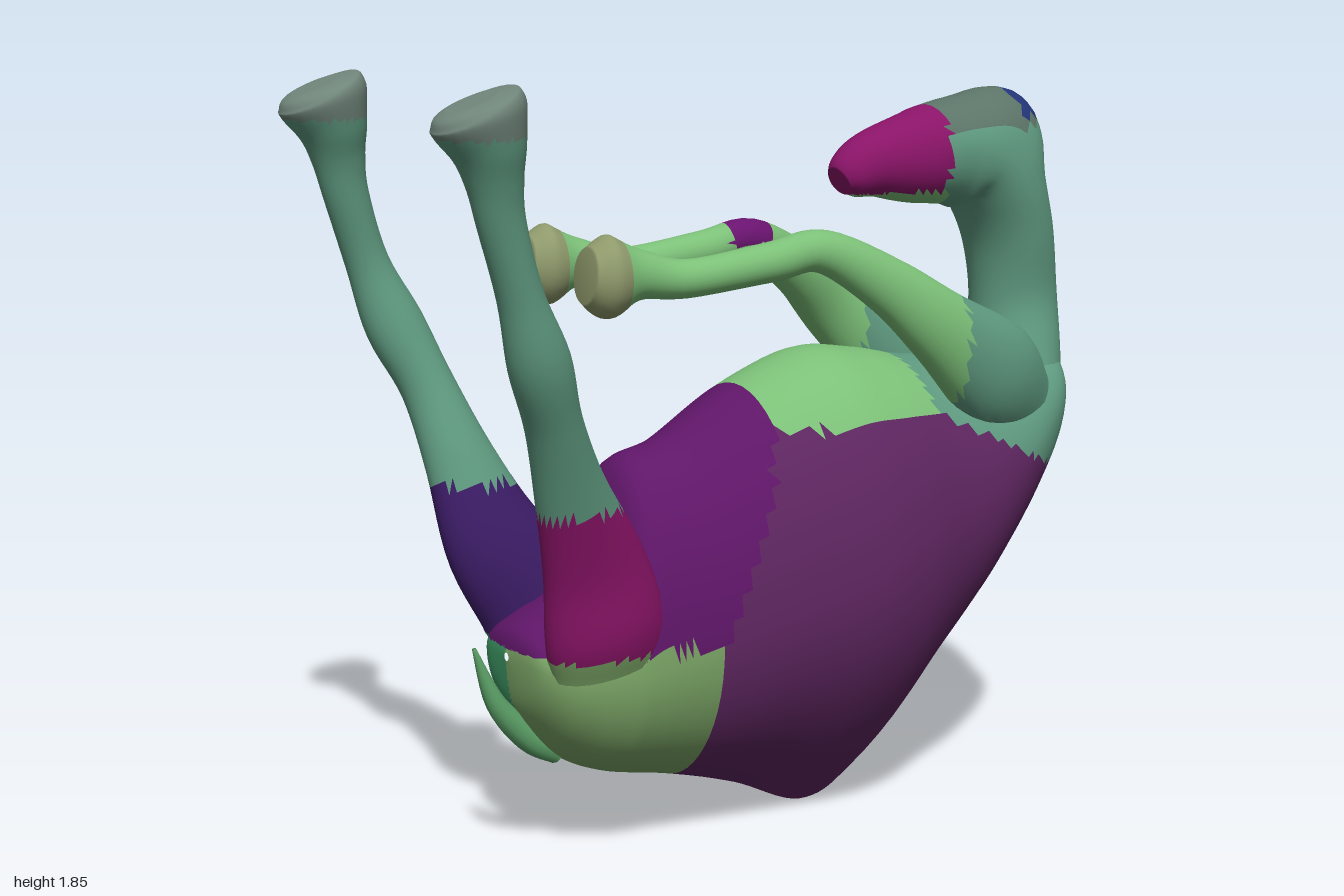
import * as THREE from 'three';

const TEAL = 0x5f9a80, LIME = 0x7cc078, PURPLE = 0x5f1668, MAGENTA = 0x8a1468;
const HOOF = 0x70857a, VIOLET = 0x3c1c66;

// Catmull-Rom blend of one column of numbers
function spline(a, b, c, d, t) {
  return 0.5 * (2 * b + (c - a) * t + (2 * a - 5 * b + 4 * c - d) * t * t
    + (3 * b - a - 3 * c + d) * t * t * t);
}

// Skin over rows of [x, y, z, up radius, down radius, side radius, pinch of the lower half];
// the first ring stays open because it is buried in another part
function loft(rows, { axis = null, sides = 28, steps = 6 } = {}) {
  const rings = [];
  const last = rows.length - 1;
  for (let i = 0; i < last; i++) {
    const [a, b, c, d] = [i - 1, i, i + 1, i + 2].map((k) => rows[Math.min(last, Math.max(0, k))]);
    for (let s = 0; s < steps; s++) rings.push(b.map((_, k) => spline(a[k], b[k], c[k], d[k], s / steps)));
  }
  rings.push(rows[last]);

  const pos = [], index = [];
  const centre = rings.map((r) => new THREE.Vector3(r[0], r[1], r[2]));
  rings.forEach((r, i) => {
    const t = axis || centre[Math.min(i + 1, rings.length - 1)].clone().sub(centre[Math.max(i - 1, 0)]).normalize();
    const side = new THREE.Vector3(0, 0, 1).addScaledVector(t, -t.z).normalize();
    const up = side.clone().cross(t);
    for (let j = 0; j < sides; j++) {
      const ang = (j / sides) * Math.PI * 2, c = Math.cos(ang), s = Math.sin(ang);
      const w = Math.sign(c) * Math.pow(Math.abs(c), s < 0 ? r[6] : 1) * r[5];
      const p = centre[i].clone().addScaledVector(side, w).addScaledVector(up, s * (s > 0 ? r[3] : r[4]));
      pos.push(p.x, p.y, p.z);
    }
  });
  const end = (rings.length - 1) * sides;
  pos.push(...centre[rings.length - 1].toArray());
  for (let j = 0; j < sides; j++) {
    const k = (j + 1) % sides;
    for (let i = 0; i < end; i += sides) {
      index.push(i + j, i + j + sides, i + k, i + k, i + j + sides, i + k + sides);
    }
    index.push(end + sides, end + k, end + j);
  }
  const geo = new THREE.BufferGeometry();
  geo.setAttribute('position', new THREE.Float32BufferAttribute(pos, 3));
  geo.setIndex(index);
  geo.computeVertexNormals();
  return geo;
}

// Split a skin into colour patches: pick(x, y, z) returns [patch name, colour]
function patches(name, geo, pick) {
  const group = new THREE.Group();
  group.name = name;
  const p = geo.attributes.position, idx = geo.index.array, found = new Map();
  for (let f = 0; f < idx.length; f += 3) {
    const tri = [idx[f], idx[f + 1], idx[f + 2]];
    const mid = (get) => tri.reduce((sum, v) => sum + p[get](v), 0) / 3;
    const [label, color] = pick(mid('getX'), mid('getY'), mid('getZ'));
    if (!found.has(label)) found.set(label, { color, tris: [] });
    found.get(label).tris.push(...tri);
  }
  for (const [label, { color, tris }] of found) {
    const part = new THREE.BufferGeometry();
    part.setAttribute('position', geo.attributes.position);
    part.setAttribute('normal', geo.attributes.normal);
    part.setIndex(tris);
    const mesh = new THREE.Mesh(part, new THREE.MeshStandardMaterial({ color }));
    mesh.name = label;
    group.add(mesh);
  }
  return group;
}

// Limb row: centre, radius in the bending plane, radius across
const limb = ([x, y, z, r, w = r]) => [x, y, z, r, r, w, 1];

export function createModel() {
  const model = new THREE.Group();
  model.name = 'upturnedCamel';

  // Torso: x, lowest y, widest y, highest y, half width, pinch (hump points down)
  const torso = [
    [-0.638, 0.49, 0.50, 0.51, 0.01, 1], [-0.62, 0.38, 0.49, 0.56, 0.13, 1],
    [-0.56, 0.285, 0.47, 0.60, 0.19, 1], [-0.49, 0.225, 0.46, 0.64, 0.215, 1],
    [-0.41, 0.19, 0.46, 0.76, 0.23, 1], [-0.34, 0.17, 0.48, 0.93, 0.24, 1.1],
    [-0.20, 0.14, 0.52, 0.98, 0.265, 1.2], [0.00, 0.08, 0.58, 1.09, 0.32, 1.6],
    [0.20, 0.00, 0.62, 1.16, 0.355, 2.1], [0.35, 0.06, 0.66, 1.15, 0.345, 1.9],
    [0.50, 0.26, 0.72, 1.12, 0.31, 1.5], [0.65, 0.45, 0.80, 1.11, 0.285, 1.3],
    [0.80, 0.65, 0.92, 1.12, 0.24, 1.2], [0.91, 0.83, 1.00, 1.13, 0.17, 1],
    [0.97, 0.98, 1.05, 1.10, 0.06, 1],
  ].map(([x, lo, mid, hi, w, pinch]) => [x, mid, -0.015, hi - mid, mid - lo, w, pinch]);
  model.add(patches('torso', loft(torso, { axis: new THREE.Vector3(1, 0, 0), sides: 56, steps: 8 }), (x, y, z) => {
    const left = z > -0.02;
    if (x < -0.2 && y < 0.52) return left ? ['leftRump', 0x7ba566] : ['rightRump', 0x3f9a66];
    if (x > 0.45 && y > 0.8 + (0.9 - x) * 0.45) return ['chest', TEAL];
    if (y > 1.0 && x > 0) return ['bellyPatch', LIME];
    if (x < -0.2 + (y - 0.5) * 0.4) return ['belly', PURPLE];
    return left ? ['leftFlank', 0x5e2660] : ['rightFlank', 0x45305f];
  }));

  // Neck bending over into the head; the fourth number is the outer radius
  const neck = [
    [0.855, 1.03, 0.14, 0.12, 0.17], [0.87, 1.13, 0.125, 0.115, 0.14],
    [0.87, 1.25, 0.115, 0.115, 0.112], [0.85, 1.40, 0.11, 0.11, 0.13],
    [0.81, 1.52, 0.12, 0.12, 0.145], [0.75, 1.60, 0.13, 0.195, 0.145],
    [0.66, 1.63, 0.15, 0.13, 0.135], [0.54, 1.61, 0.115, 0.12, 0.105],
    [0.42, 1.60, 0.085, 0.09, 0.08], [0.345, 1.575, 0.058, 0.068, 0.06],
    [0.315, 1.56, 0.035, 0.042, 0.04],
  ].map(([x, y, inner, outer, w]) => [x, y, -0.02, inner, outer, w, 1]);
  model.add(patches('neckAndHead', loft(neck), (x, y) => {
    if (x < 0.6 && y < 1.53) return ['lowerJaw', LIME];
    if (x < 0.58) return ['muzzle', MAGENTA];
    if (x > 0.8 && y > 1.7) return ['poll', 0x24367a];
    return y > 1.68 ? ['crown', 0x5c7468] : ['neck', TEAL];
  }));

  // Tail curling off the rump
  const tail = [[-0.50, 0.25, -0.02, 0.035, 0.03], [-0.58, 0.295, -0.02, 0.035, 0.03],
    [-0.665, 0.39, -0.02, 0.025], [-0.72, 0.53, -0.02, 0.005]].map(limb);
  model.add(patches('tail', loft(tail, { sides: 12 }), () => ['tailSkin', 0x5da268]));

  // Hind legs reach up and back, splaying outwards to tilted hooves
  for (const s of [1, -1]) {
    const back = s < 0 ? 0.055 : 0;
    const zs = s > 0
      ? [0.135, 0.155, 0.18, 0.23, 0.28, 0.325, 0.345, 0.365, 0.375, 0.38, 0.38, 0.38, 0.38]
      : [-0.145, -0.165, -0.185, -0.25, -0.325, -0.375, -0.40, -0.39, -0.385, -0.38, -0.38, -0.38, -0.38];
    const hind = [
      [-0.45, 0.50, 0.15, 0.085], [-0.47, 0.59, 0.155, 0.095],
      [-0.515 - back, 0.74, 0.13, 0.08], [-0.60 - back / 2, 0.93, 0.088, 0.07],
      [-0.67, 1.10, 0.066], [-0.73, 1.25, 0.072, 0.066], [-0.785, 1.40, 0.052],
      [-0.838, 1.56, 0.054, 0.05], [-0.858, 1.65, 0.064, 0.06], [-0.873, 1.72, 0.083, 0.08],
      [-0.895, 1.785, 0.108, 0.097], [-0.906, 1.81, 0.098, 0.085], [-0.91, 1.82, 0.06, 0.05],
    ].map(([x, y, r, w], i) => limb([x, y, zs[i], r, w]));
    model.add(patches(s > 0 ? 'leftHindLeg' : 'rightHindLeg', loft(hind), (x, y) => {
      if (y < 0.52) return ['haunch', s > 0 ? 0x7ba566 : 0x3f9a66];
      if (y < 0.88) return ['thigh', s > 0 ? MAGENTA : VIOLET];
      return y > 1.74 ? ['hoof', HOOF] : ['shank', TEAL];
    }));
  }

  // Forelegs fold over the belly; both hooves drift towards the right side
  for (const s of [1, -1]) {
    const zs = s > 0
      ? [0.15, 0.19, 0.21, 0.20, 0.17, 0.14, 0.09, 0.07, 0.06, 0.055]
      : [-0.17, -0.22, -0.225, -0.18, -0.14, -0.155, -0.20, -0.22, -0.23, -0.235];
    const fore = [
      [0.77, 0.99, 0.10, 0.06], [0.64, 1.085, 0.135, 0.085], [0.45, 1.22, 0.095, 0.068],
      [0.30, 1.33, 0.07, 0.055], [0.13, 1.42, 0.052, 0.05], [0.00, 1.40, 0.048, 0.048],
      [-0.20, 1.37, 0.046, 0.046], [-0.32, 1.385, 0.06, 0.055], [-0.40, 1.385, 0.098, 0.083],
      [-0.455, 1.39, 0.065, 0.06],
    ].map(([x, y, r, w], i) => limb([x, y, zs[i], r, w]));
    model.add(patches(s > 0 ? 'leftForeleg' : 'rightForeleg', loft(fore), (x, y) => {
      if (x < -0.37) return ['hoof', 0x8f9a6c];
      if (s < 0 && x > 0.05 && x < 0.17 && y > 1.41) return ['kneePatch', 0x6a1470];
      return x > 0.5 ? ['shoulder', TEAL] : ['foreleg', LIME];
    }));
  }
  return model;
}
